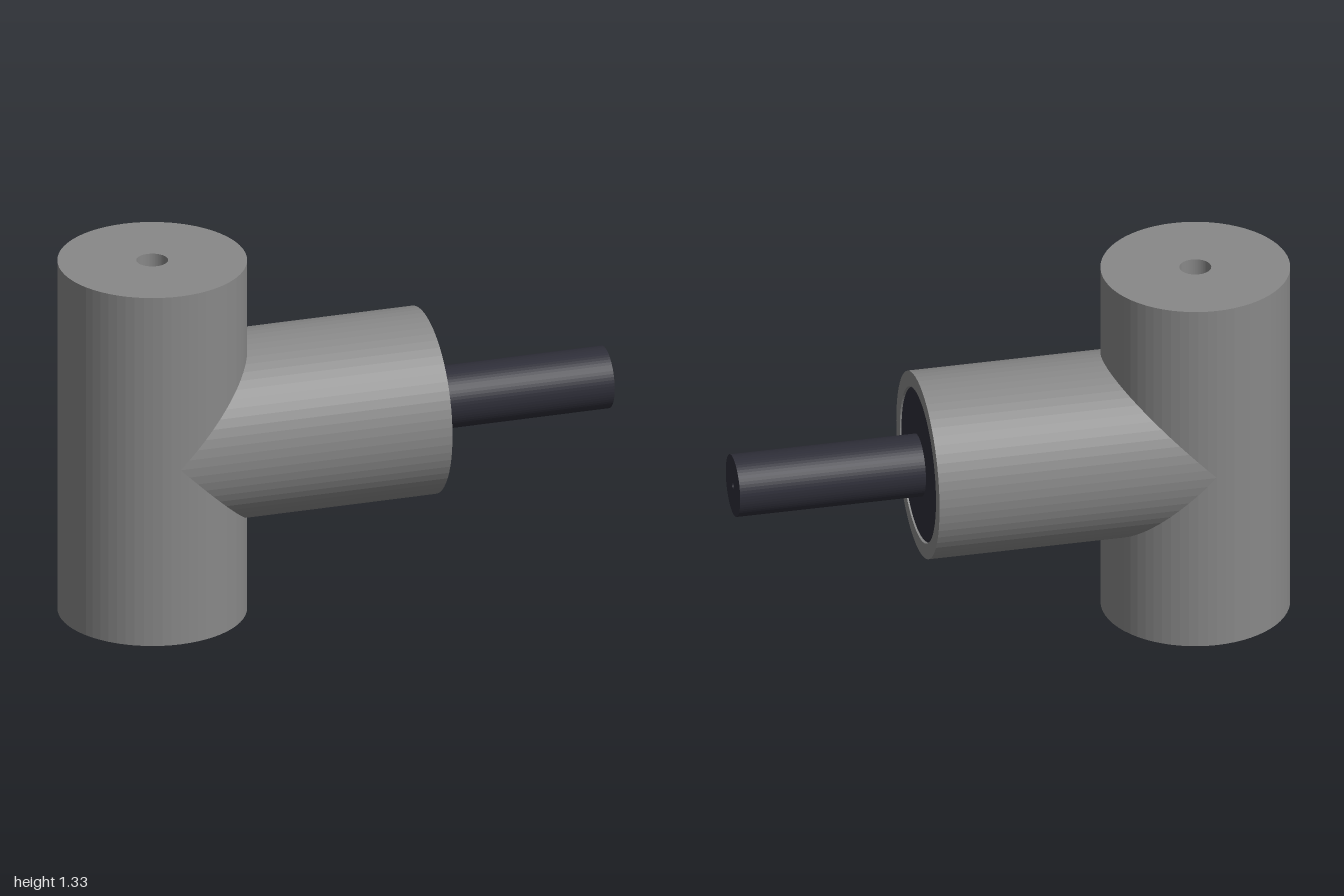
import * as THREE from 'three';

const SIDES = 64;
const R = 1 / 3;          // shared radius of body and arm
const BODY_X = -2 / 3;    // axis of the upright body
const AXIS_Y = 2 / 3;     // height of the horizontal axis

// Lathe with a faceted finish; adjust(v) may move each vertex first
function turned(name, profile, material, adjust) {
  const lathe = new THREE.LatheGeometry(profile.map(([r, y]) => new THREE.Vector2(r, y)), SIDES);
  if (adjust) {
    const p = lathe.attributes.position;
    const v = new THREE.Vector3();
    for (let i = 0; i < p.count; i++) {
      adjust(v.fromBufferAttribute(p, i));
      p.setXYZ(i, v.x, v.y, v.z);
    }
  }
  const geometry = lathe.toNonIndexed();
  geometry.computeVertexNormals();
  const mesh = new THREE.Mesh(geometry, material);
  mesh.name = name;
  return mesh;
}

export function createModel() {
  const grey = new THREE.MeshStandardMaterial({ color: 0x888888 });
  grey.name = 'grey metal';
  const dark = new THREE.MeshStandardMaterial({ color: 0x2e2e38 });
  dark.name = 'dark metal';

  const model = new THREE.Group();
  model.name = 'teeFitting';

  // Upright body with a narrow bore right through it
  const H = 4 / 3, bore = 0.056;
  const body = turned('body', [[bore, 0], [R, 0], [R, H], [bore, H], [bore, 0]], grey);
  body.position.x = BODY_X;
  model.add(body);

  // Horizontal parts are turned about y, then laid along +x from the body axis
  const side = new THREE.Group();
  side.name = 'sideAssembly';
  side.position.set(BODY_X, AXIS_Y, 0);
  side.rotation.z = -Math.PI / 2;
  model.add(side);

  // Arm sleeve: its inner end is cut to the saddle where it meets the body
  side.add(turned('arm', [[R, 0], [R, 1], [0.278, 1], [0.278, 0.9]], grey, (v) => {
    if (v.y === 0) v.y = Math.abs(v.x) * 0.97;
  }));

  // Plug with a rounded rim, and the shaft with a small centre hole in its end
  const profile = [[0.278, 0.9]];
  const f = 0.014, face = 0.997;
  for (let i = 0; i <= 5; i++) {
    const a = (i / 5) * Math.PI / 2;
    profile.push([0.278 - f + f * Math.cos(a), face - f + f * Math.sin(a)]);
  }
  const end = 5 / 3;
  profile.push([0.111, face], [0.111, end], [0.011, end], [0.011, end - 0.1], [0, end - 0.1]);
  side.add(turned('plugAndShaft', profile, dark));

  return model;
}
